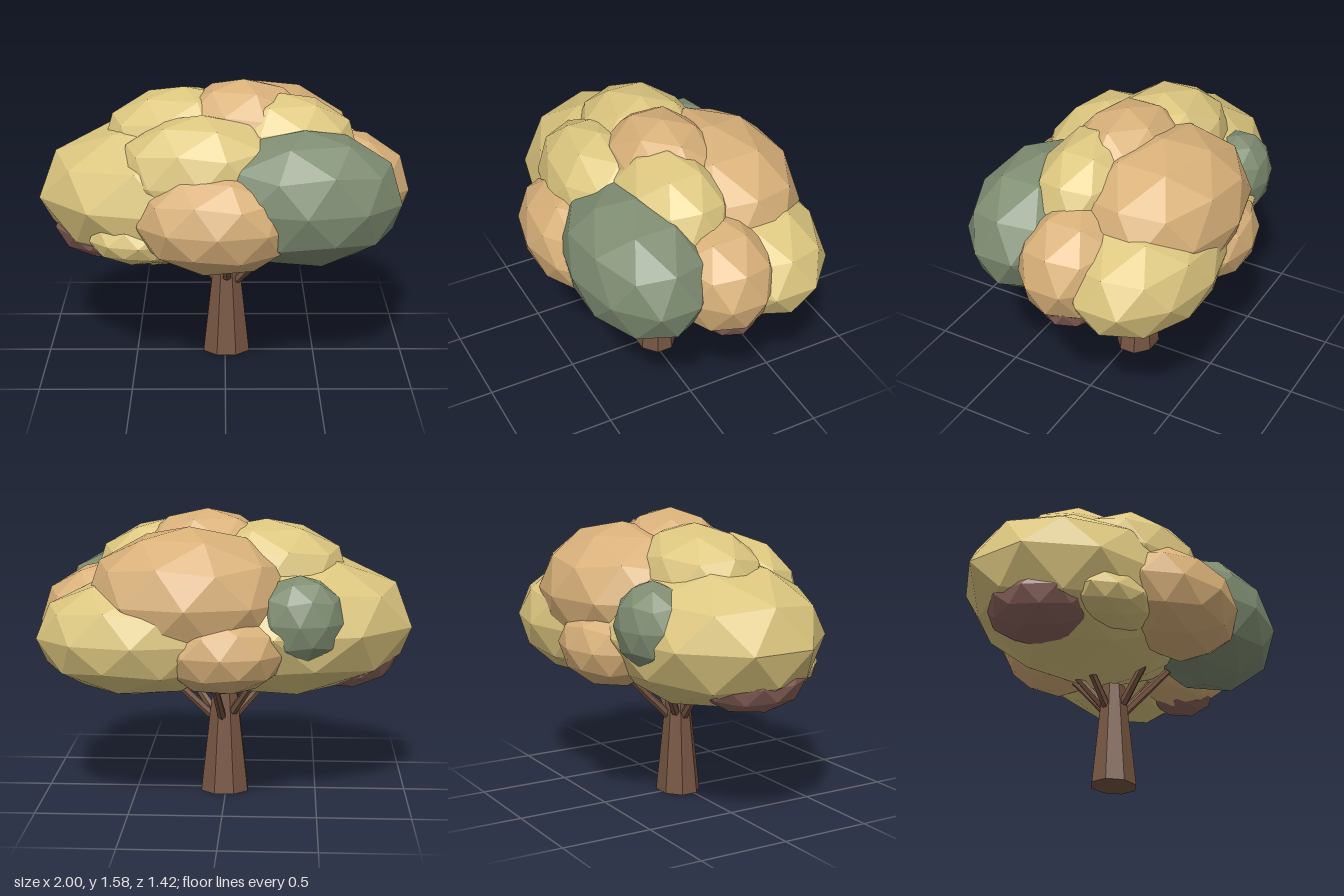
import * as THREE from 'three';

const material = (color) => new THREE.MeshStandardMaterial({ color, flatShading: true });
const yellow = material(0xdcc67f);
const tan = material(0xd8b079);
const green = material(0x7f8d72);
const purple = material(0x8c645c);
const bark = material(0x765542);

// Leaf clump: low-poly ball with a corner at its pole, stretched to the radii.
// turn = 1 puts the upper corner towards +x, -1 towards -x.
function clump(name, mat, [x, y, z], [rx, ry, rz], turn = 1) {
  const geo = new THREE.IcosahedronGeometry(1, 1);
  geo.rotateZ(-turn * Math.atan2(0.5257, 0.8507));
  geo.scale(rx, ry, rz);
  const mesh = new THREE.Mesh(geo, mat);
  mesh.position.set(x, y, z);
  mesh.name = name;
  return mesh;
}

// Tapered limb between two points
function limb(name, from, to, r0, r1, sides) {
  const a = new THREE.Vector3(...from), b = new THREE.Vector3(...to);
  const dir = b.clone().sub(a);
  const mesh = new THREE.Mesh(new THREE.CylinderGeometry(r1, r0, dir.length(), sides), bark);
  mesh.position.copy(a).add(b).multiplyScalar(0.5);
  mesh.quaternion.setFromUnitVectors(new THREE.Vector3(0, 1, 0), dir.normalize());
  mesh.name = name;
  return mesh;
}

export function createModel() {
  const tree = new THREE.Group();
  tree.name = 'tree';

  // Trunk
  const trunk = limb('trunk', [0.007, 0, -0.03], [0.007, 0.57, -0.03], 0.135, 0.07, 8);
  trunk.geometry.rotateY(Math.PI / 8);
  trunk.geometry.scale(1.04, 1, 0.88);
  tree.add(trunk);

  // Branches fanning out into the leaves
  const branches = [
    [[-0.05, 0.43, -0.03], [-0.3, 0.72, -0.03]],
    [[0.07, 0.42, -0.03], [0.4, 0.74, -0.06]],
    [[0.01, 0.46, 0.03], [0.0, 0.72, 0.23]],
    [[0.02, 0.43, -0.08], [0.06, 0.74, -0.38]],
    [[0.06, 0.43, 0.0], [0.3, 0.74, 0.15]],
    [[-0.04, 0.46, -0.07], [-0.2, 0.74, -0.25]],
  ];
  for (const [from, to] of branches) tree.add(limb('branch', from, to, 0.025, 0.019, 6));

  // Crown
  const crown = new THREE.Group();
  crown.name = 'crown';
  crown.add(
    clump('leftSideClump', yellow, [-0.267, 0.97, -0.025], [0.77, 0.41, 0.565], 1),
    clump('frontGreenClump', green, [0.415, 1.015, 0.3], [0.53, 0.37, 0.355], -1),
    clump('backTopClump', tan, [0.18, 1.135, -0.275], [0.56, 0.375, 0.435], -1),
    clump('topClump', tan, [0.1, 1.27, -0.02], [0.4, 0.31, 0.31], 1),
    clump('backSideClump', yellow, [0.45, 0.94, -0.33], [0.55, 0.32, 0.38], -1),
    clump('upperSideClump', yellow, [0.3, 1.21, 0.05], [0.43, 0.31, 0.29], -1),
    clump('upperMiddleClump', yellow, [-0.22, 1.22, -0.06], [0.46, 0.31, 0.34], 1),
    clump('upperFrontClump', yellow, [-0.12, 1.12, 0.24], [0.47, 0.33, 0.3], 1),
    clump('lowerFrontClump', tan, [-0.04, 0.925, 0.41], [0.44, 0.285, 0.3], 1),
    clump('sideClump', tan, [0.6, 0.98, -0.04], [0.42, 0.32, 0.31], -1),
    clump('lowerSideShadeClump', purple, [0.68, 0.825, -0.06], [0.27, 0.18, 0.19], -1),
    clump('lowerLeftShadeClump', purple, [-0.65, 0.78, 0.0], [0.29, 0.18, 0.3], 1),
    clump('smallFrontClump', yellow, [-0.45, 0.8, 0.31], [0.28, 0.14, 0.19], 1),
    clump('smallBackGreenClump', green, [-0.4, 1.04, -0.42], [0.24, 0.24, 0.19], 1),
    clump('lowerBackClump', tan, [0.0, 0.885, -0.45], [0.34, 0.23, 0.265], 1),
  );
  tree.add(crown);
  return tree;
}
